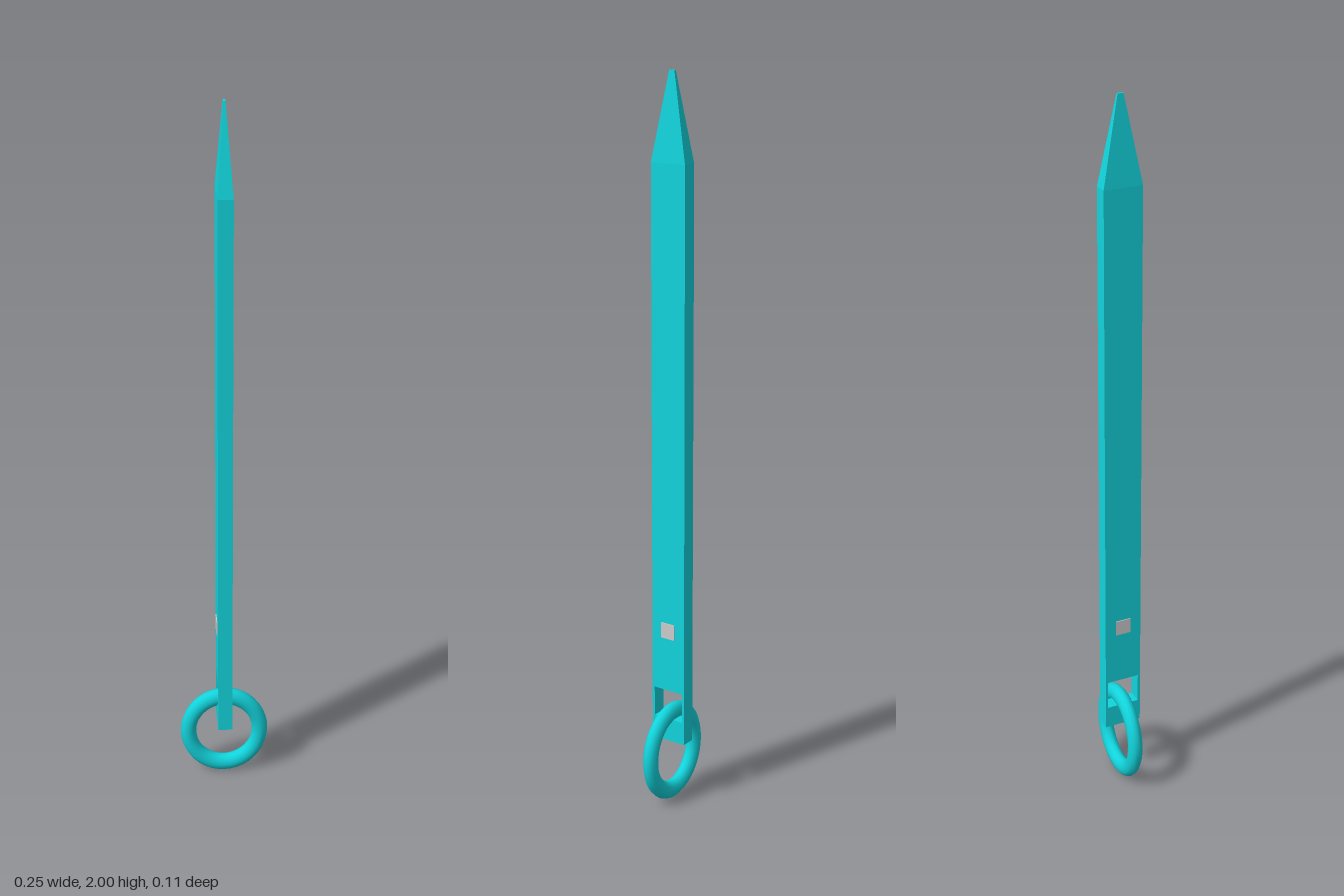
import * as THREE from 'three';

export function createModel() {
  const model = new THREE.Group();
  const cyan = new THREE.MeshStandardMaterial({ color: 0x12d4dc, flatShading: true });
  const cyanSmooth = new THREE.MeshStandardMaterial({ color: 0x12d4dc });
  const grey = new THREE.MeshStandardMaterial({ color: 0xcccccc });

  const add = (name, geometry, material) => {
    const mesh = new THREE.Mesh(geometry, material);
    mesh.name = name;
    model.add(mesh);
    return mesh;
  };

  const halfX = 0.02, halfZ = 0.053;
  const bottom = 0.18, shoulder = 1.77, top = 2;

  const rect = (Type, hw, y0, y1) => {
    const p = new Type();
    p.moveTo(-hw, y0);
    p.lineTo(hw, y0);
    p.lineTo(hw, y1);
    p.lineTo(-hw, y1);
    p.closePath();
    return p;
  };

  // Flat bar with a rectangular eye near its lower end
  const profile = rect(THREE.Shape, halfZ, bottom, shoulder);
  profile.holes.push(rect(THREE.Path, 0.046, 0.245, 0.33));
  const bar = new THREE.ExtrudeGeometry(profile, { depth: 2 * halfX, bevelEnabled: false });
  bar.translate(0, 0, -halfX).rotateY(Math.PI / 2);
  add('bar', bar, cyan);

  // Four-sided tip with a tiny flat end
  const tip = new THREE.CylinderGeometry(0.15 * Math.SQRT2, Math.SQRT2, top - shoulder, 4);
  tip.rotateY(Math.PI / 4).scale(halfX, 1, halfZ);
  add('tip', tip, cyan).position.y = (top + shoulder) / 2;

  // Square pin showing on both broad sides
  add('pin', new THREE.BoxGeometry(0.045, 0.044, 0.044), grey).position.y = 0.505;

  // Slightly oval ring through the eye
  const ring = new THREE.TorusGeometry(0.1025, 0.0225, 12, 40);
  ring.scale(1, 1.14, 0.9);
  add('ring', ring, cyanSmooth).position.y = 0.1435;

  return model;
}
